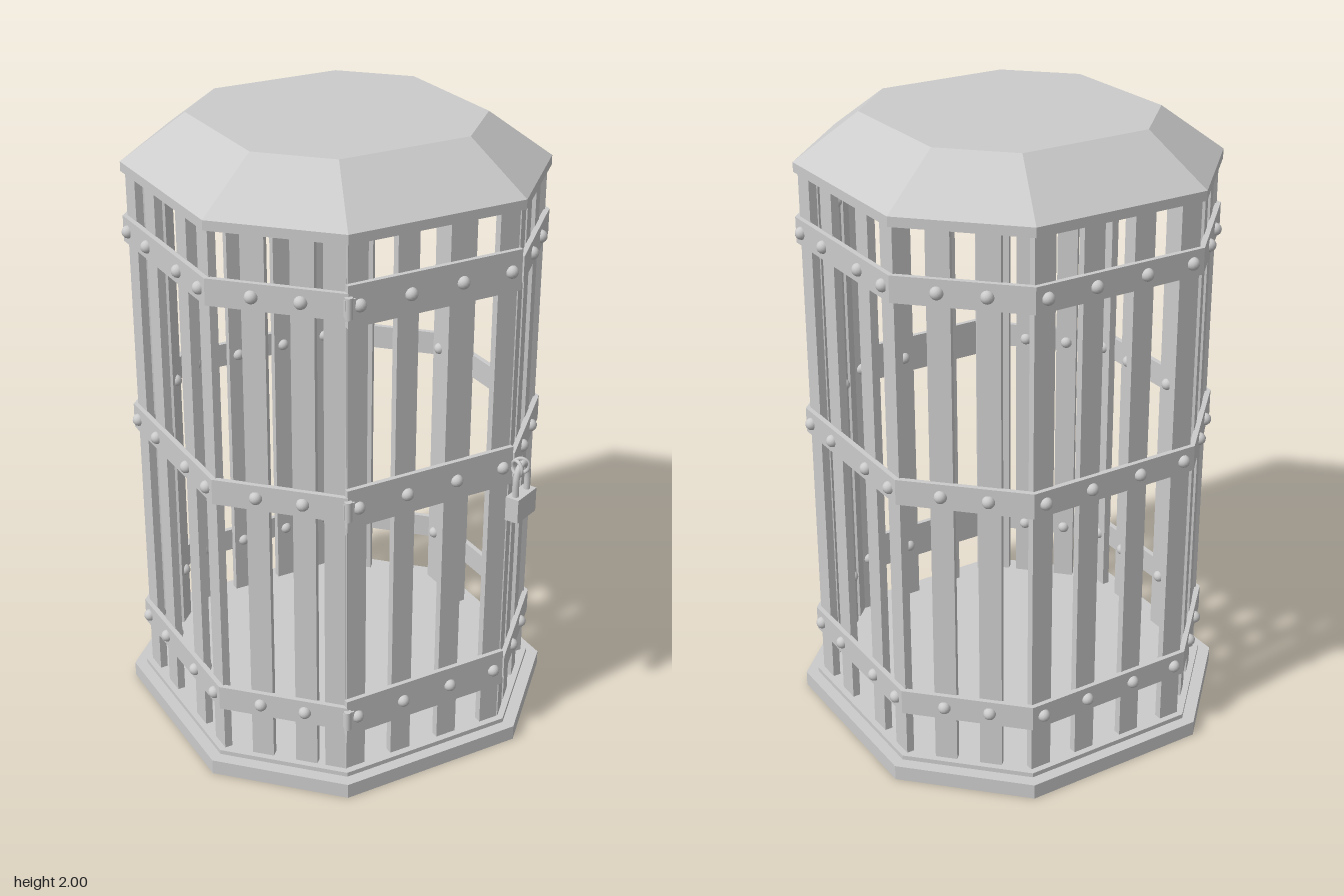
import * as THREE from 'three';
import { ConvexGeometry } from 'three/addons/geometries/ConvexGeometry.js';

const material = new THREE.MeshStandardMaterial({ color: 0xcccccc });

// Octagon corners: a = distance to the main faces, h = half width of those faces.
// Starts at the front left corner and ends at the front right one.
const octagon = (a, h) => [[h, a], [a, h], [a, -h], [h, -a], [-h, -a], [-a, -h], [-a, h], [-h, a]];

function add(parent, name, geometry, x = 0, y = 0, z = 0) {
  const mesh = new THREE.Mesh(geometry, material);
  mesh.name = name;
  mesh.position.set(x, y, z);
  parent.add(mesh);
  return mesh;
}

// Solid through stacked octagons, each [y, a, h]
function octagonSolid(parent, name, rings) {
  const points = rings.flatMap(([y, a, h]) => octagon(a, h).map(([x, z]) => new THREE.Vector3(x, y, z)));
  return add(parent, name, new ConvexGeometry(points));
}

const BAND_Y = [0.265, 1.005, 1.643];
const BAR_BOTTOM = 0.06, BAR_TOP = 1.83;
const barGeometry = new THREE.BoxGeometry(0.07, BAR_TOP - BAR_BOTTOM, 0.025);
const rivetGeometry = new THREE.SphereGeometry(0.02, 14, 10);

// One wall: bars at the given offsets, riveted to each band inside and out
function wall(parent, name, angle, distance, offsets, riveted = offsets) {
  const group = new THREE.Group();
  group.name = name;
  group.rotation.y = angle;
  for (const x of offsets) {
    add(group, 'bar', barGeometry, x, (BAR_BOTTOM + BAR_TOP) / 2, distance - 0.0275);
  }
  for (const x of riveted) {
    for (const y of BAND_Y) {
      add(group, 'rivet', rivetGeometry, x, y, distance);
      add(group, 'innerRivet', rivetGeometry, x, y, distance - 0.037);
    }
  }
  parent.add(group);
  return group;
}

export function createModel() {
  const model = new THREE.Group();
  model.name = 'cage';
  const cage = new THREE.Group();
  cage.name = 'cageBody';
  cage.position.z = -0.013;
  model.add(cage);

  // Floor and roof
  octagonSolid(cage, 'base', [[0, 0.627, 0.31], [0.05, 0.627, 0.31]]);
  octagonSolid(cage, 'floor', [[0.05, 0.59, 0.292], [0.065, 0.59, 0.292]]);
  octagonSolid(cage, 'roof', [[1.825, 0.584, 0.29], [1.855, 0.584, 0.29], [2, 0.398, 0.215]]);

  // Walls
  const diagonal = (0.585 + 0.29) / Math.SQRT2;
  wall(cage, 'backWall', Math.PI, 0.585, [-0.25, -0.087, 0.087, 0.25]);
  for (const side of [1, -1]) {
    wall(cage, 'sideWall', side * Math.PI / 2, 0.585, [-0.253, -0.11, 0.11, 0.253]);
    wall(cage, 'backDiagonalWall', side * Math.PI * 0.75, diagonal, [-0.072, 0.072]);
    // The extra bar is the door post
    wall(cage, 'frontDiagonalWall', side * Math.PI / 4, diagonal,
      [-0.072, 0.072, side * -0.168], [-0.072, 0.072]);
  }

  // Bands around seven faces, open at the door
  const outline = [...octagon(0.585, 0.29), ...octagon(0.568, 0.283).reverse()];
  const bandGeometry = new THREE.ExtrudeGeometry(
    new THREE.Shape(outline.map(([x, z]) => new THREE.Vector2(x, z))),
    { depth: 0.082, bevelEnabled: false });
  bandGeometry.rotateX(Math.PI / 2);
  for (const y of BAND_Y) add(cage, 'band', bandGeometry, 0, y + 0.041, 0);

  // Door with broad straps and hinges
  const door = wall(cage, 'door', 0, 0.583, [-0.252, -0.087, 0.085, 0.25]);
  for (const y of BAND_Y) {
    add(door, 'doorStrap', new THREE.BoxGeometry(0.575, 0.127, 0.016), -0.002, y, 0.575);
    add(door, 'hingePin', new THREE.CylinderGeometry(0.012, 0.012, 0.064, 12), -0.29, y, 0.588);
    add(door, 'hingeLeaf', new THREE.BoxGeometry(0.035, 0.05, 0.008), -0.285, y, 0.585);
  }

  // Padlock hanging from two staples
  const lock = new THREE.Group();
  lock.name = 'padlock';
  lock.position.set(0.303, 0, 0.611);
  lock.rotation.y = 0.42;
  cage.add(lock);
  add(lock, 'lockBody', new THREE.BoxGeometry(0.105, 0.08, 0.045), 0, 0.88, 0);
  const arch = [[-0.032, 0.91], [-0.032, 0.98], [-0.022, 1.008], [0, 1.02], [0.022, 1.008], [0.032, 0.98], [0.032, 0.91]];
  const curve = new THREE.CatmullRomCurve3(arch.map(([x, y]) => new THREE.Vector3(x, y, 0)));
  add(lock, 'shackle', new THREE.TubeGeometry(curve, 28, 0.01, 10));
  for (const side of [-1, 1]) {
    const staple = add(lock, 'staple', new THREE.TorusGeometry(0.024, 0.006, 8, 20), side * 0.012, 1.004, -0.012);
    staple.rotation.y = Math.PI / 2 + side * 0.4;
  }
  return model;
}
